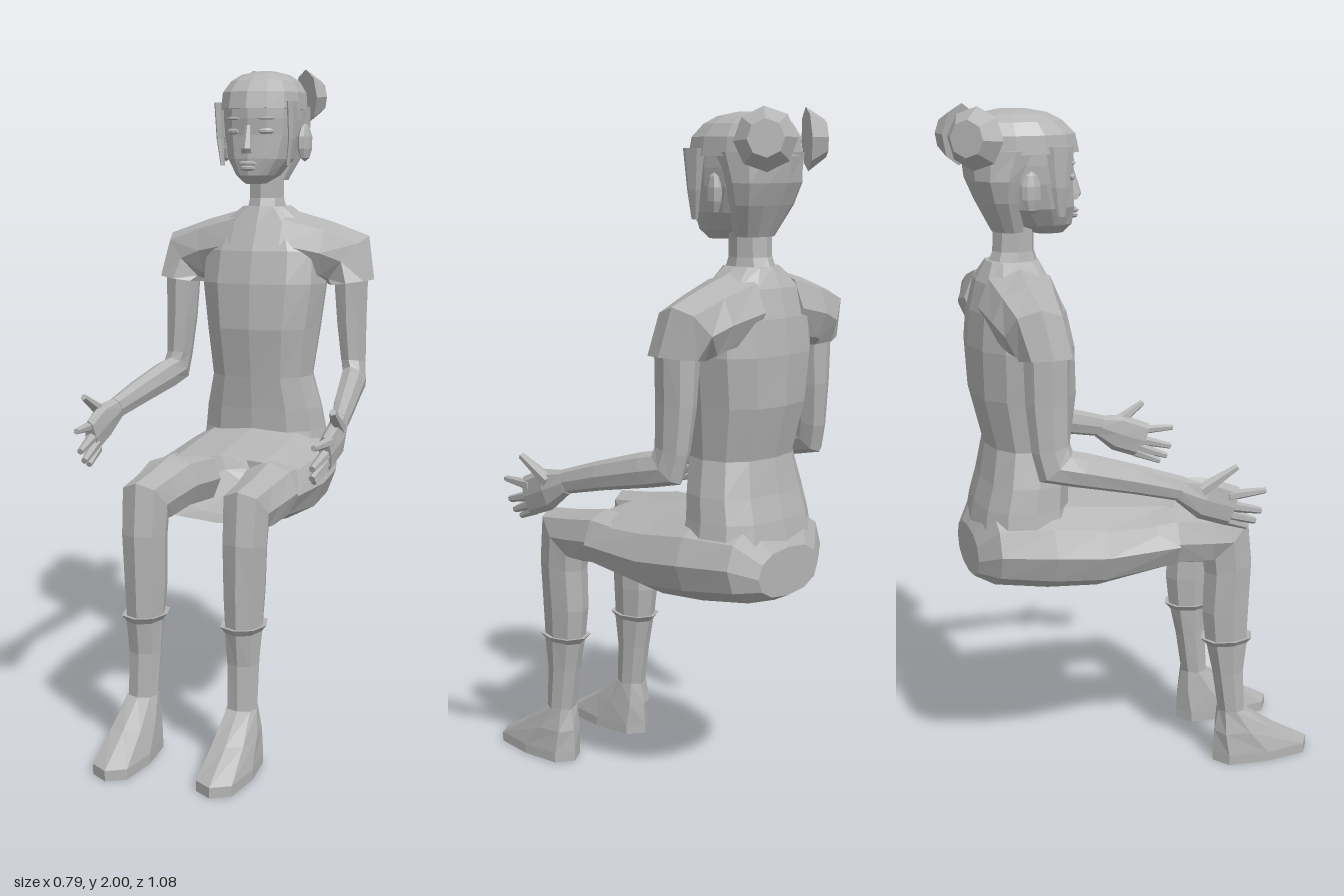
import * as THREE from 'three';

const clay = new THREE.MeshStandardMaterial({ color: 0xb4b4b4, flatShading: true, side: THREE.DoubleSide });
clay.name = 'clay grey';
const D = Math.PI / 180;

// One cross-section: [x, y, z, halfWidth, halfDepth, tiltX, tiltZ] (degrees)
function ring([x, y, z, w, d, tx = 0, tz = 0], n, p) {
  const e = new THREE.Euler(tx * D, 0, tz * D), pts = [];
  const soft = (v) => Math.sign(v) * Math.abs(v) ** (2 / p);
  for (let i = 0; i < n; i++) {
    const a = (i / n) * Math.PI * 2;
    pts.push(new THREE.Vector3(w * soft(Math.sin(a)), 0, d * soft(Math.cos(a))).applyEuler(e).add(new THREE.Vector3(x, y, z)));
  }
  return pts;
}

// Skin a row of cross-sections, with optional end caps, facing outward
function loft(name, sections, { n = 8, p = 2.2, start = true, end = true } = {}) {
  const rings = sections.map((s) => ring(s, n, p));
  const pos = rings.flat().flatMap((v) => v.toArray());
  let idx = [];
  for (let r = 0; r < rings.length - 1; r++)
    for (let i = 0; i < n; i++) {
      const a = r * n + i, b = r * n + ((i + 1) % n);
      idx.push(a, b, b + n, a, b + n, a + n);
    }
  const last = (rings.length - 1) * n;
  for (let i = 1; i < n - 1; i++) {
    if (start) idx.push(0, i + 1, i);
    if (end) idx.push(last, last + i, last + i + 1);
  }
  // flip when the signed volume is negative
  const c = new THREE.Vector3().fromArray(sections[Math.floor(sections.length / 2)]);
  const V = (i) => new THREE.Vector3().fromArray(pos, i * 3).sub(c);
  let vol = 0;
  for (let i = 0; i < idx.length; i += 3) vol += V(idx[i]).dot(V(idx[i + 1]).cross(V(idx[i + 2])));
  if (vol < 0) idx.reverse();
  const g = new THREE.BufferGeometry();
  g.setAttribute('position', new THREE.Float32BufferAttribute(pos, 3));
  g.setIndex(idx);
  const flat = g.toNonIndexed();
  flat.computeVertexNormals();
  return part(name, flat);
}

function part(name, geometry) {
  const m = new THREE.Mesh(geometry, clay);
  m.name = name;
  return m;
}

// Upright body sections: [y, zFront, zBack, halfWidth]
const body = (list) => list.map(([y, f, b, w]) => [0, y, (f + b) / 2, w, (f - b) / 2]);

// Tapered finger from a to b
function finger(name, a, b, r0, r1) {
  const A = new THREE.Vector3(...a), B = new THREE.Vector3(...b), dir = B.clone().sub(A);
  const m = part(name, new THREE.CylinderGeometry(r1, r0, dir.length(), 6));
  m.position.copy(A).add(B).multiplyScalar(0.5);
  m.quaternion.setFromUnitVectors(new THREE.Vector3(0, 1, 0), dir.normalize());
  return m;
}

function blob(name, x, y, z, sx, sy, sz, ry = 0) {
  const m = part(name, new THREE.SphereGeometry(1, 8, 5));
  m.position.set(x, y, z);
  m.scale.set(sx, sy, sz);
  m.rotation.y = ry;
  return m;
}

// Everything paired, built for the +x side
function sideParts() {
  const g = new THREE.Group();
  // sleeve and arm
  g.add(loft('sleeve', [
    [0.08, 1.46, -0.35, 0.105, 0.12, 0, 90], [0.2, 1.435, -0.36, 0.095, 0.1, 0, 85],
    [0.265, 1.41, -0.36, 0.1, 0.085, 0, 50], [0.285, 1.345, -0.335, 0.07, 0.078, 0, 8],
  ], { end: false }));
  g.add(loft('arm', [
    [0.28, 1.38, -0.335, 0.056, 0.065, 0, 10], [0.285, 1.22, -0.335, 0.046, 0.062, 0, 4],
    [0.293, 1.1, -0.33, 0.038, 0.055, -10], [0.3, 1.05, -0.318, 0.037, 0.062, -40],
    [0.31, 1.035, -0.25, 0.037, 0.05, -70], [0.335, 1.0, -0.1, 0.033, 0.042, -75],
    [0.357, 0.965, 0.03, 0.024, 0.035, -75],
  ]));
  // hand
  g.add(loft('palm', [
    [0.357, 0.965, 0.02, 0.024, 0.035, -75], [0.367, 0.935, 0.09, 0.025, 0.06, -72],
    [0.364, 0.9, 0.18, 0.018, 0.058, -70],
  ]));
  g.add(finger('thumb', [0.372, 0.96, 0.08], [0.385, 1.022, 0.183], 0.022, 0.01));
  g.add(finger('indexFinger', [0.37, 0.935, 0.16], [0.362, 0.936, 0.28], 0.017, 0.009));
  g.add(finger('middleFinger', [0.364, 0.905, 0.16], [0.355, 0.875, 0.27], 0.018, 0.01));
  g.add(finger('ringFinger', [0.36, 0.88, 0.16], [0.35, 0.845, 0.255], 0.018, 0.01));
  g.add(finger('littleFinger', [0.358, 0.865, 0.15], [0.347, 0.83, 0.23], 0.016, 0.009));
  // leg
  g.add(loft('leg', [
    [0.15, 0.745, -0.1, 0.09, 0.085, -90], [0.157, 0.758, 0.07, 0.09, 0.085, -90],
    [0.157, 0.742, 0.18, 0.073, 0.08, -85], [0.155, 0.735, 0.25, 0.067, 0.1, -45],
    [0.155, 0.64, 0.26, 0.064, 0.077, -10], [0.153, 0.5, 0.256, 0.059, 0.076],
    [0.153, 0.4, 0.26, 0.053, 0.068],
  ]));
  g.add(loft('sockCuff', [
    [0.153, 0.39, 0.262, 0.05, 0.065], [0.153, 0.412, 0.26, 0.067, 0.084], [0.153, 0.41, 0.26, 0.05, 0.066],
  ]));
  g.add(loft('shin', [
    [0.153, 0.4, 0.262, 0.054, 0.068], [0.153, 0.3, 0.266, 0.048, 0.05], [0.155, 0.16, 0.28, 0.045, 0.042],
  ]));
  g.add(loft('foot', [
    [0.157, 0, 0.38, 0.067, 0.16], [0.157, 0.03, 0.38, 0.067, 0.16],
    [0.157, 0.1, 0.322, 0.058, 0.098], [0.155, 0.17, 0.28, 0.045, 0.042],
  ], { p: 2.9 }));
  // hair bun
  const bun = part('hairBun', new THREE.CylinderGeometry(0.05, 0.085, 0.05, 8));
  bun.position.set(0.105, 1.915, -0.482);
  bun.quaternion.setFromUnitVectors(new THREE.Vector3(0, 1, 0), new THREE.Vector3(0.75, 0.05, -0.66).normalize());
  g.add(bun);
  // ear, side lock, eye and brow
  g.add(blob('ear', 0.13, 1.77, -0.325, 0.018, 0.058, 0.032, -0.3));
  g.add(loft('sideLock', [
    [0.106, 1.7, -0.235, 0.005, 0.012], [0.116, 1.78, -0.24, 0.008, 0.025], [0.117, 1.89, -0.24, 0.012, 0.04],
  ], { n: 6 }));
  g.add(blob('eye', 0.052, 1.802, -0.187, 0.026, 0.01, 0.009, 0.3));
  g.add(blob('brow', 0.052, 1.84, -0.185, 0.03, 0.005, 0.009, 0.3));
  return g;
}

export function createModel() {
  const model = new THREE.Group();
  model.name = 'seatedFigure';

  // torso and neck
  model.add(loft('torso', body([
    [0.8, -0.2, -0.495, 0.21], [0.88, -0.213, -0.48, 0.198], [0.95, -0.21, -0.46, 0.188], [1.05, -0.2, -0.442, 0.162],
    [1.2, -0.18, -0.48, 0.18], [1.34, -0.187, -0.485, 0.2], [1.44, -0.21, -0.475, 0.195],
    [1.52, -0.25, -0.455, 0.15], [1.575, -0.275, -0.425, 0.075],
  ]), { n: 12, p: 2.4 }));
  model.add(loft('neck', body([[1.54, -0.265, -0.43, 0.068], [1.6, -0.285, -0.405, 0.056], [1.7, -0.285, -0.4, 0.056]])));

  // skirt over the lap, open at the front hem
  model.add(loft('skirt', [
    [0, 0.735, -0.5, 0.13, 0.07, -90], [0, 0.765, -0.45, 0.205, 0.125, -90], [0, 0.76, -0.3, 0.25, 0.14, -90],
    [0, 0.745, -0.15, 0.257, 0.135, -90], [0, 0.75, 0.07, 0.25, 0.103, -90],
  ], { n: 12, p: 2.3, end: false }));

  // head
  model.add(loft('head', body([
    [1.645, -0.2, -0.28, 0.03], [1.67, -0.173, -0.36, 0.062], [1.72, -0.167, -0.42, 0.098],
    [1.79, -0.172, -0.455, 0.116], [1.84, -0.168, -0.465, 0.12], [1.9, -0.17, -0.465, 0.12],
  ]), { n: 14 }));
  model.add(loft('hairCap', body([
    [1.87, -0.152, -0.488, 0.128], [1.92, -0.163, -0.482, 0.124], [1.955, -0.2, -0.46, 0.102],
    [1.975, -0.24, -0.43, 0.072], [1.986, -0.3, -0.38, 0.03],
  ]), { n: 14 }));
  model.add(loft('backHair', body([
    [1.655, -0.31, -0.405, 0.065], [1.74, -0.32, -0.448, 0.108], [1.8, -0.3, -0.475, 0.126], [1.88, -0.24, -0.488, 0.129],
  ]), { n: 12 }));

  // nose and lips
  model.add(loft('nose', body([[1.735, -0.155, -0.18, 0.018], [1.75, -0.143, -0.18, 0.017], [1.82, -0.165, -0.18, 0.008]]), { n: 6 }));
  model.add(blob('upperLip', 0, 1.706, -0.167, 0.032, 0.008, 0.012));
  model.add(blob('lowerLip', 0, 1.692, -0.168, 0.026, 0.009, 0.012));

  // paired parts
  const left = sideParts(), right = sideParts();
  left.name = 'leftSide';
  right.name = 'rightSide';
  right.scale.x = -1;
  model.add(left, right);
  return model;
}
